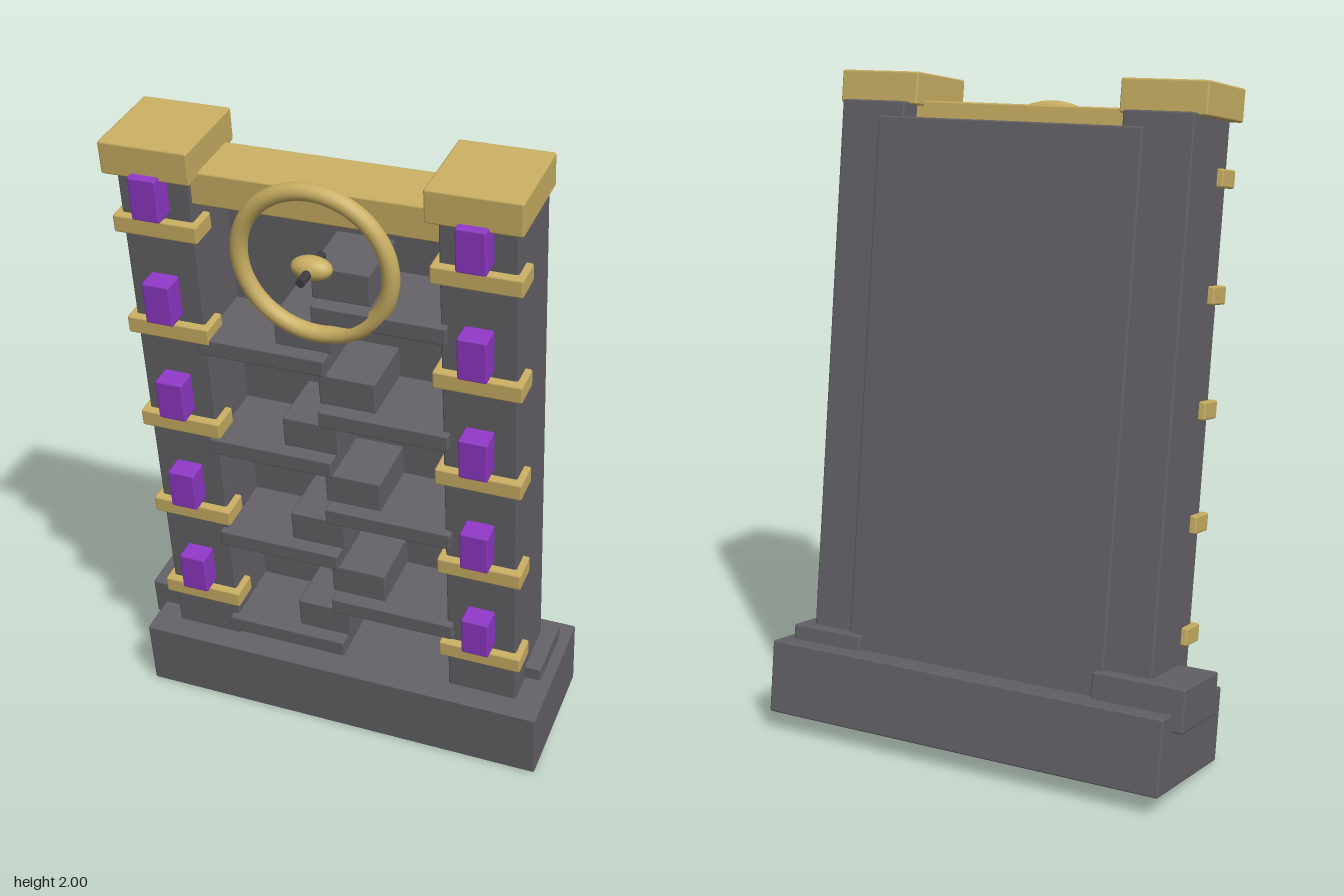
import * as THREE from 'three';
import { RoundedBoxGeometry } from 'three/addons/geometries/RoundedBoxGeometry.js';

const material = (name, color) => {
  const m = new THREE.MeshStandardMaterial({ color });
  m.name = name;
  return m;
};

export function createModel() {
  const stone = material('grey stone', 0x636166);
  const gold = material('old gold', 0xc8ae62);
  const purple = material('purple crystal', 0x8f38c6);
  const iron = material('dark iron', 0x3c3b40);

  const model = new THREE.Group();
  model.name = 'leaningStairGate';

  // Everything is built upright in one group, which then leans forward
  const gate = new THREE.Group();
  gate.name = 'gate';
  gate.position.set(0, 0.031, -0.128);
  gate.rotation.x = THREE.MathUtils.degToRad(8);
  model.add(gate);

  const add = (name, geometry, mat, x, y, z) => {
    const mesh = new THREE.Mesh(geometry, mat);
    mesh.name = name;
    mesh.position.set(x, y, z);
    gate.add(mesh);
    return mesh;
  };
  // Slightly bevelled block given by its extents
  const block = (name, mat, [x0, x1], [y0, y1], [z0, z1]) =>
    add(name, new RoundedBoxGeometry(x1 - x0, y1 - y0, z1 - z0, 1, 0.006), mat,
      (x0 + x1) / 2, (y0 + y1) / 2, (z0 + z1) / 2);
  const span = (centre, size) => [centre - size / 2, centre + size / 2];

  const midX = 0.0135;

  // Plinth with two loose stones on its ends
  block('plinth', stone, [-0.64, 0.666], [0, 0.226], [-0.222, 0.222]);
  block('rightLooseStone', stone, [-0.675, -0.386], [0.175, 0.305], [-0.16, 0.092]);
  block('leftLooseStone', stone, [0.393, 0.632], [0.18, 0.272], [-0.16, 0.051]);

  // Back wall
  block('backWall', stone, [-0.412, 0.444], [0.2, 1.842], [-0.137, -0.064]);

  // Pillars with caps, bands and crystals
  for (const side of [-1, 1]) {
    const prefix = side < 0 ? 'right' : 'left';
    const x = midX + side * 0.461;
    block(prefix + 'Pillar', stone, span(x, 0.216), [0.2, 1.888], [-0.12, 0.15]);
    block(prefix + 'Cap', gold, span(x, 0.265), [1.88, 1.977], [-0.092, 0.191]);
    for (let i = 0; i < 5; i++) {
      block(prefix + 'Band', gold, span(x, 0.255), span(0.39 + i * 0.332, 0.054), [0.079, 0.175]);
      block(prefix + 'Crystal', purple, span(x, 0.085), span(0.502 + i * 0.332, 0.13), [0.145, 0.216]);
    }
  }

  // Lintel between the caps
  block('lintel', gold, [-0.35, 0.377], [1.796, 1.896], [-0.046, 0.14]);

  // Alternating slabs, each carrying a smaller block
  for (let i = 0; i < 8; i++) {
    const side = i % 2 ? 1 : -1;
    const y = 0.282 + i * 0.178;
    block('stairSlab', stone, span(midX + side * 0.18, 0.39), span(y, 0.055), [-0.08, 0.172]);
    block('stairBlock', stone, span(midX + side * 0.0615, 0.173), [y + 0.025, y + 0.127], [-0.08, 0.13]);
  }

  // Ring with its hub and pin
  add('ring', new THREE.TorusGeometry(0.22, 0.025, 16, 64), gold, midX, 1.678, 0.155);
  add('hub', new THREE.SphereGeometry(1, 24, 16), gold, midX, 1.677, 0.17).scale.set(0.06, 0.034, 0.036);
  add('hubPin', new THREE.CylinderGeometry(0.013, 0.013, 0.15, 16), iron, midX, 1.676, 0.175)
    .rotation.x = Math.PI / 2;

  return model;
}
